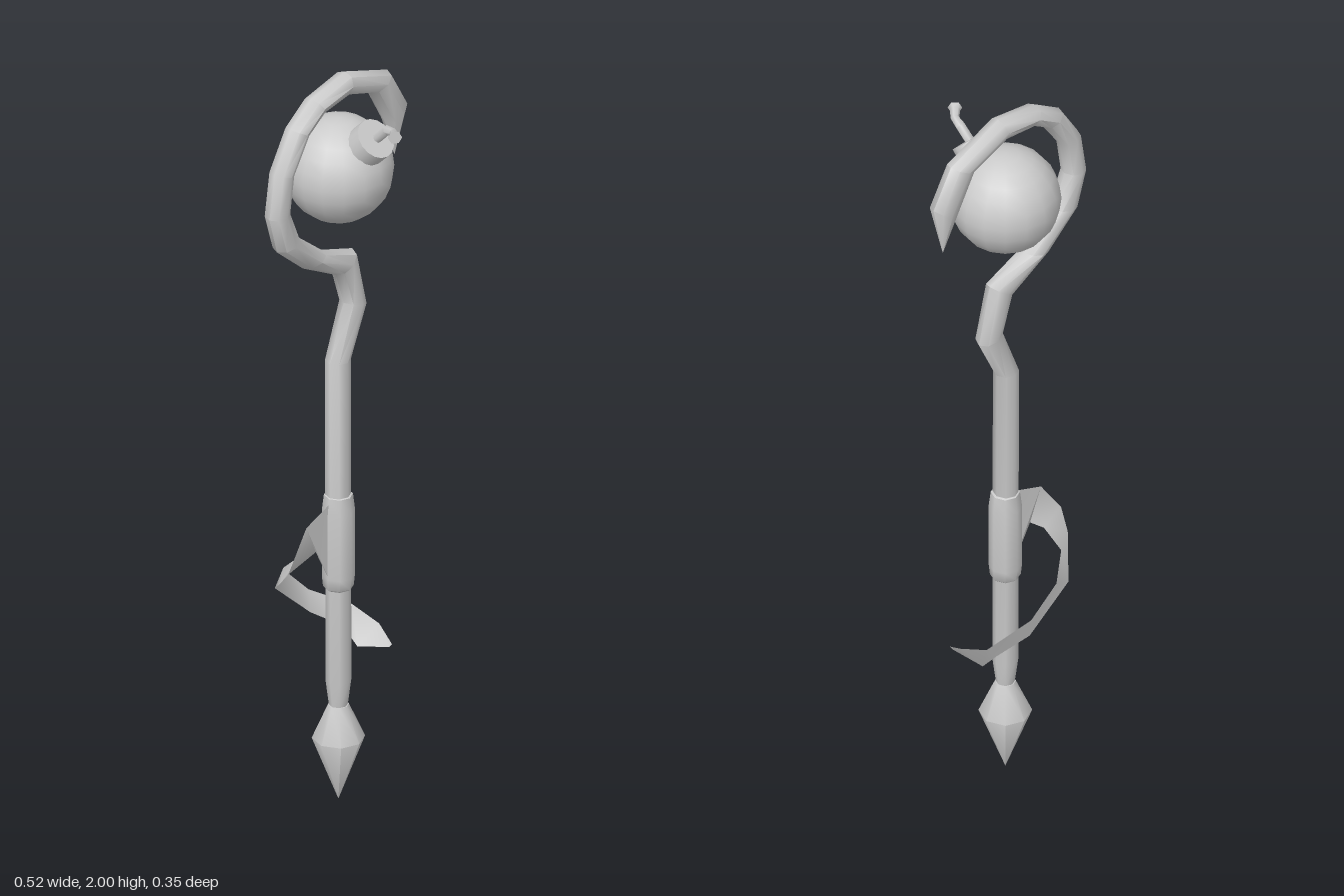
import * as THREE from 'three';
import { toCreasedNormals } from 'three/addons/utils/BufferGeometryUtils.js';

const CX = 0.006, CZ = -0.032; // axis of the staff
const V = (x, y, z) => new THREE.Vector3(x, y, z);

// Skin a list of equal-length rings; closed rings wrap round.
function loft(rings, closed) {
  const n = rings[0].length, pos = [], idx = [];
  rings.forEach(r => r.forEach(p => pos.push(p.x, p.y, p.z)));
  for (let i = 0; i < rings.length - 1; i++) {
    for (let j = 0; j < (closed ? n : n - 1); j++) {
      const k = (j + 1) % n, a = i * n + j, b = i * n + k;
      idx.push(a, a + n, b, b, a + n, b + n);
    }
  }
  const g = new THREE.BufferGeometry();
  g.setAttribute('position', new THREE.Float32BufferAttribute(pos, 3));
  g.setIndex(idx);
  g.computeVertexNormals();
  return g;
}

export function createModel() {
  const model = new THREE.Group();
  const mat = new THREE.MeshStandardMaterial({ color: 0xcccccc });
  const thin = new THREE.MeshStandardMaterial({ color: 0xcccccc, side: THREE.DoubleSide });
  const add = (name, geometry, material = mat) => {
    const mesh = new THREE.Mesh(geometry, material);
    mesh.name = name;
    model.add(mesh);
    return mesh;
  };
  const lathe = (points) => toCreasedNormals(
    new THREE.LatheGeometry(points.map(p => new THREE.Vector2(...p)), 8), 0.85);

  // Shaft and crook: outer x, y and inner x, y of each section, then half depth
  const sections = [
    [-0.016, 0.25, 0.028, 0.25, 0.022],
    [-0.026, 0.33, 0.038, 0.33, 0.032],
    [-0.028, 1.215, 0.036, 1.215, 0.032],
    [0.027, 1.362, 0.098, 1.341, 0.032],
    [-0.005, 1.452, 0.06, 1.5, 0.032],
    [-0.132, 1.521, -0.058, 1.542, 0.032],
    [-0.233, 1.606, -0.159, 1.622, 0.032],
    [-0.262, 1.706, -0.2, 1.711, 0.032],
    [-0.243, 1.823, -0.185, 1.807, 0.032],
    [-0.18, 1.923, -0.127, 1.892, 0.032],
    [-0.1, 1.976, -0.069, 1.929, 0.032],
    [0.032, 2.0, 0.021, 1.939, 0.032],
    [0.196, 1.939, 0.127, 1.902, 0.032],
    [0.256, 1.839, 0.19, 1.791, 0.032],
    [0.224, 1.694, 0.2235, 1.694, 0.0005],
  ];
  const rings = sections.map(([ox, oy, ix, iy, depth]) =>
    Array.from({ length: 8 }, (_, j) => {
      const a = (j / 8) * Math.PI * 2, c = Math.cos(a) / 2;
      return V((ox + ix) / 2 + c * (ix - ox), (oy + iy) / 2 + c * (iy - oy),
        CZ + depth * Math.sin(a));
    }));
  add('staffAndCrook', toCreasedNormals(loft(rings, true), 0.85));

  // Pointed foot and cloth grip
  add('footSpike', lathe([[0, 0], [0.066, 0.172], [0.026, 0.262], [0, 0.262]]))
    .position.set(CX, 0, CZ);
  add('grip', lathe([[0.03, 0.583], [0.038, 0.59], [0.041, 0.62], [0.041, 0.8],
    [0.036, 0.842], [0.03, 0.845]])).position.set(CX, 0, CZ);

  // Ribbon trailing from the grip, round the back and to the left
  const ribbon = [
    [V(-0.02, 0.83, CZ), V(-0.02, 0.6, CZ)],
    [V(-0.115, 0.795, -0.035), V(-0.072, 0.71, -0.04)],
    [V(-0.185, 0.695, -0.035), V(-0.09, 0.7, -0.07)],
    [V(-0.168, 0.65, -0.075), V(-0.1, 0.652, -0.12)],
    [V(-0.09, 0.58, -0.155), V(-0.04, 0.605, -0.163)],
    [V(0.03, 0.47, -0.14), V(0.037, 0.527, -0.152)],
    [V(0.1, 0.42, -0.095), V(0.14, 0.463, -0.1)],
    [V(0.108, 0.372, -0.055), V(0.15, 0.43, -0.02)],
    [V(0.128, 0.39, 0.03), V(0.132, 0.398, 0.035)],
  ];
  add('ribbon', loft(ribbon, false), thin);

  // Round bomb held inside the crook
  const centre = V(CX, 1.745, CZ);
  add('bombBody', new THREE.SphereGeometry(0.138, 16, 12)).position.copy(centre);

  // Cap leaning up and forward
  const axis = V(0, 1, 1).normalize();
  const cap = add('bombCap', new THREE.CylinderGeometry(0.053, 0.053, 0.065, 16));
  cap.position.copy(centre).addScaledVector(axis, 0.135);
  cap.rotation.x = Math.PI / 4;

  // Bent fuse with a flared end
  const fusePath = [V(0.01, 1.855, 0.08), V(0.014, 1.893, 0.115),
    V(0.006, 1.898, 0.142), V(-0.012, 1.903, 0.16), V(-0.02, 1.903, 0.168)];
  const radii = [0.013, 0.013, 0.011, 0.013, 0.018];
  const fuseRings = fusePath.map((p, i) => {
    const t = fusePath[Math.min(i + 1, 4)].clone().sub(fusePath[Math.max(i - 1, 0)]).normalize();
    const u = V(1, 0, 0).addScaledVector(t, -t.x).normalize();
    const w = u.clone().cross(t);
    return Array.from({ length: 6 }, (_, j) => {
      const a = (j / 6) * Math.PI * 2;
      return p.clone().addScaledVector(u, radii[i] * Math.cos(a))
        .addScaledVector(w, radii[i] * Math.sin(a));
    });
  });
  fuseRings.push(fuseRings[4].map(() => fusePath[4].clone()));
  add('fuse', toCreasedNormals(loft(fuseRings, true), 1.1));

  return model;
}
